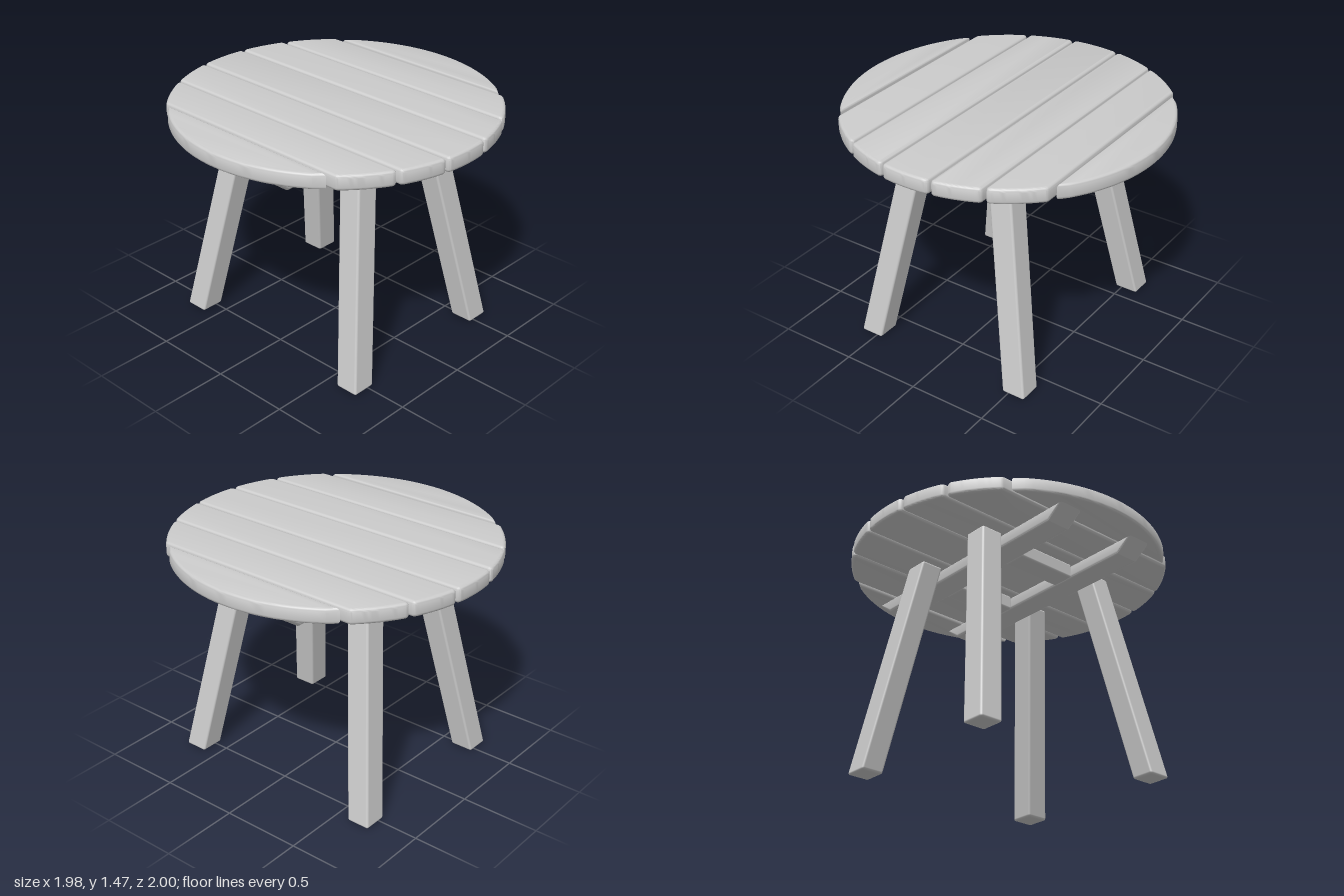
import * as THREE from 'three';
import { toCreasedNormals } from 'three/addons/utils/BufferGeometryUtils.js';
import { RoundedBoxGeometry } from 'three/addons/geometries/RoundedBoxGeometry.js';

const TOP = 1.465, UNDER = 1.37, BEVEL = 0.02;
const material = new THREE.MeshStandardMaterial({ color: 0xcccccc });

function addMesh(parent, geometry, name) {
  const mesh = new THREE.Mesh(geometry, material);
  mesh.name = name;
  parent.add(mesh);
  return mesh;
}

// Extrudes an inset outline and grows it back with a rounded bevel
function softExtrude(points, thickness, bevel) {
  const geometry = new THREE.ExtrudeGeometry(new THREE.Shape(points), {
    depth: thickness - 2 * bevel, bevelThickness: bevel, bevelSize: bevel, bevelSegments: 4,
  });
  return toCreasedNormals(geometry, 0.6);
}

// Outline of the strip of a disc between x0 and x1, with small corner fillets
function plankOutline(x0, x1, radius) {
  const edge = (x) => Math.sqrt(Math.max(0, radius * radius - x * x));
  const reachesRim = x1 >= radius;
  const fillet = reachesRim ? 0 : 0.006;
  const corner = (x, inward) => new THREE.QuadraticBezierCurve(
    new THREE.Vector2(x, edge(x) - fillet),
    new THREE.Vector2(x, edge(x)),
    new THREE.Vector2(x + inward * fillet, edge(x + inward * fillet)),
  ).getPoints(4);

  const a0 = reachesRim ? 0 : Math.acos((x1 - fillet) / radius);
  const a1 = Math.acos((x0 + fillet) / radius);
  const arc = [];
  for (let i = 0; i <= 14; i++) {
    const a = a0 + (a1 - a0) * i / 14;
    arc.push(new THREE.Vector2(radius * Math.cos(a), radius * Math.sin(a)));
  }
  const half = reachesRim ? arc
    : [...corner(x1, -1), ...arc.slice(1, -1), ...corner(x0, 1).reverse()];
  // The other half is the mirror image; the rim point is not repeated
  const mirrored = half.slice(reachesRim ? 1 : 0).reverse()
    .map((p) => new THREE.Vector2(p.x, -p.y));
  return [...half, ...mirrored];
}

function createTabletop() {
  const tabletop = new THREE.Group();
  tabletop.name = 'tabletop';
  const spans = [[-0.156, 0.156], [0.166, 0.443], [0.452, 0.728], [0.737, 1.0]];
  spans.forEach(([x0, x1], i) => {
    const shift = i === 3 ? 0.01 : 0;
    const outline = plankOutline(x0 + BEVEL + shift, x1 - BEVEL + shift, 1 - BEVEL);
    const geometry = softExtrude(outline, TOP - UNDER, BEVEL);
    geometry.rotateX(Math.PI / 2);
    geometry.translate(-shift, TOP - BEVEL, 0);
    addMesh(tabletop, geometry, i === 0 ? 'centrePlank' : 'leftPlank' + i);
    if (i > 0) addMesh(tabletop, geometry, 'rightPlank' + i).rotation.y = Math.PI;
  });
  return tabletop;
}

function createUnderframe() {
  const frame = new THREE.Group();
  frame.name = 'underframe';

  // Long battens with slanted ends
  const width = 0.17, b = BEVEL;
  const batten = softExtrude([
    [-0.76, 1.275 + b], [0.76, 1.275 + b], [0.845, UNDER - b], [-0.845, UNDER - b],
  ].map(([x, y]) => new THREE.Vector2(x, y)), width, b);
  batten.translate(0, 0, b - width / 2);
  for (const side of [1, -1]) {
    addMesh(frame, batten, side > 0 ? 'frontBatten' : 'backBatten').position.z = side * 0.287;
  }

  // Short blocks joining the battens
  const block = new RoundedBoxGeometry(0.15, 0.092, 0.42, 3, 0.012);
  for (const side of [1, -1]) {
    addMesh(frame, block, side > 0 ? 'leftCrossBlock' : 'rightCrossBlock')
      .position.set(side * 0.285, 1.324, 0);
  }
  return frame;
}

// Splayed legs: upright posts sheared outwards so both ends stay level
function createLegs() {
  const legs = new THREE.Group();
  legs.name = 'legs';
  for (const sx of [1, -1]) {
    for (const sz of [1, -1]) {
      const geometry = new RoundedBoxGeometry(0.152, UNDER, 0.15, 3, 0.014);
      geometry.translate(0, UNDER / 2, 0);
      geometry.applyMatrix4(new THREE.Matrix4().set(
        1, -sx * 0.25 / UNDER, 0, sx * 0.537,
        0, 1, 0, 0,
        0, -sz * 0.213 / UNDER, 1, sz * 0.661,
        0, 0, 0, 1,
      ));
      addMesh(legs, geometry, (sz > 0 ? 'front' : 'back') + (sx > 0 ? 'Left' : 'Right') + 'Leg');
    }
  }
  return legs;
}

export function createModel() {
  const model = new THREE.Group();
  model.name = 'roundPlankTable';
  model.add(createTabletop(), createUnderframe(), createLegs());
  return model;
}
